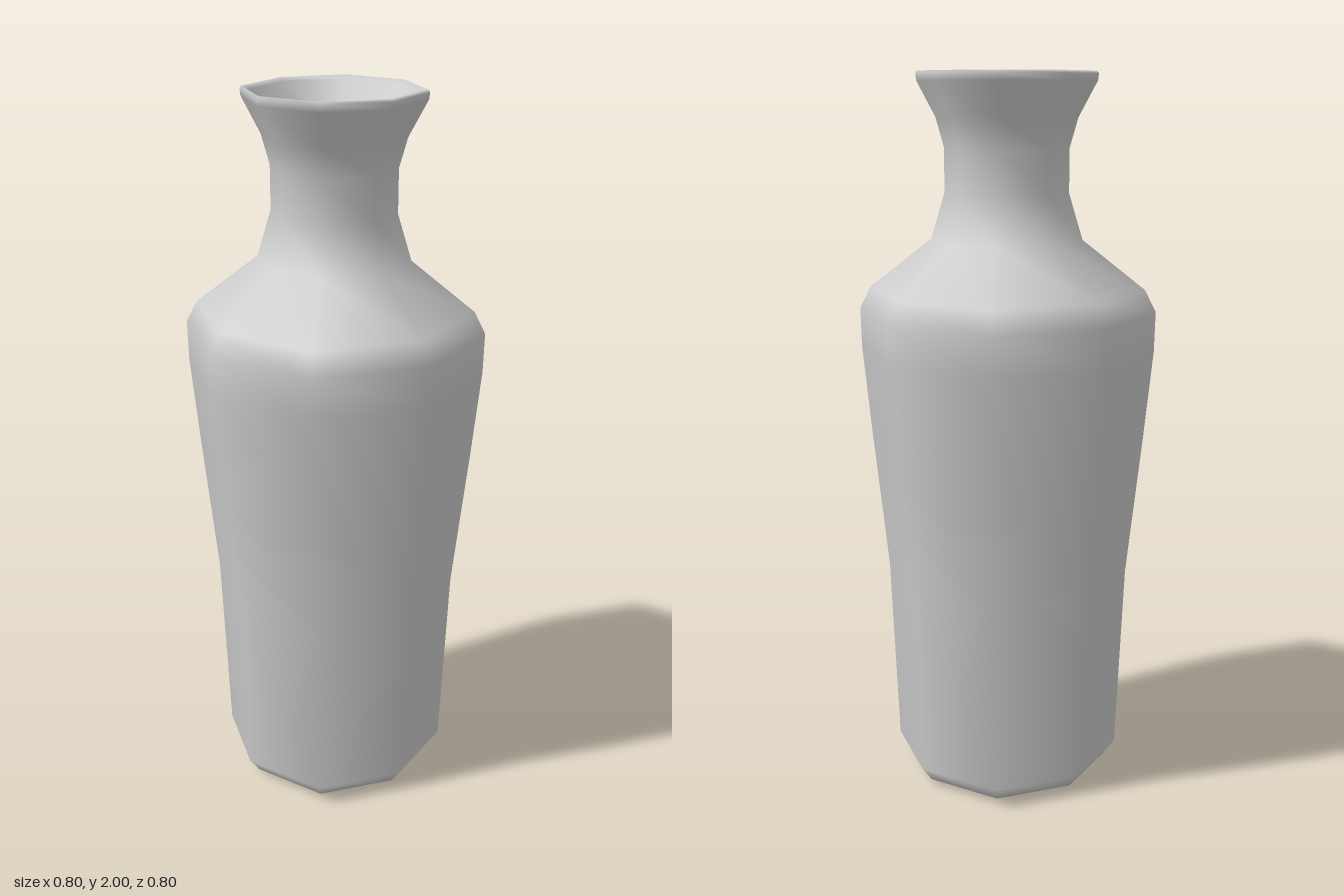
import * as THREE from 'three';

export function createModel() {
  const group = new THREE.Group();
  group.name = 'vase';

  // [radius, height], from the underside up the outer wall, over the lip and down inside
  const outer = [
    [0, 0], [0.2, 0.003], [0.283, 0.015], [0.315, 0.06], [0.335, 0.6], [0.375, 1.0],
    [0.398, 1.25], [0.4, 1.36], [0.37, 1.42], [0.202, 1.555], [0.165, 1.68],
    [0.165, 1.8], [0.187, 1.88], [0.236, 1.975], [0.238, 1.993],
  ];
  const inner = [
    [0.233, 2.0], [0.222, 1.99], [0.165, 1.9], [0.115, 1.82], [0.095, 1.74], [0.1, 1.66],
    [0.14, 1.53], [0.3, 1.4], [0.33, 1.35], [0.3, 1.0], [0.265, 0.6], [0.245, 0.1],
    [0.2, 0.06], [0.1, 0.075], [0.039, 0.1], [0, 0.1],
  ];
  const profile = [...outer, ...inner].map(([r, y]) => new THREE.Vector2(r, y));

  // Eight-sided body with smooth normals
  const geometry = new THREE.LatheGeometry(profile, 8);

  // Corners on the diagonals stand slightly further out than those on the axes
  const pos = geometry.attributes.position;
  for (let i = 0; i < pos.count; i++) {
    const x = pos.getX(i), z = pos.getZ(i);
    if (Math.min(Math.abs(x), Math.abs(z)) > 1e-4) {
      pos.setX(i, x * 1.029);
      pos.setZ(i, z * 1.029);
    }
  }

  const material = new THREE.MeshStandardMaterial({ color: 0xcccccc });
  const body = new THREE.Mesh(geometry, material);
  body.name = 'vaseBody';
  group.add(body);
  return group;
}
